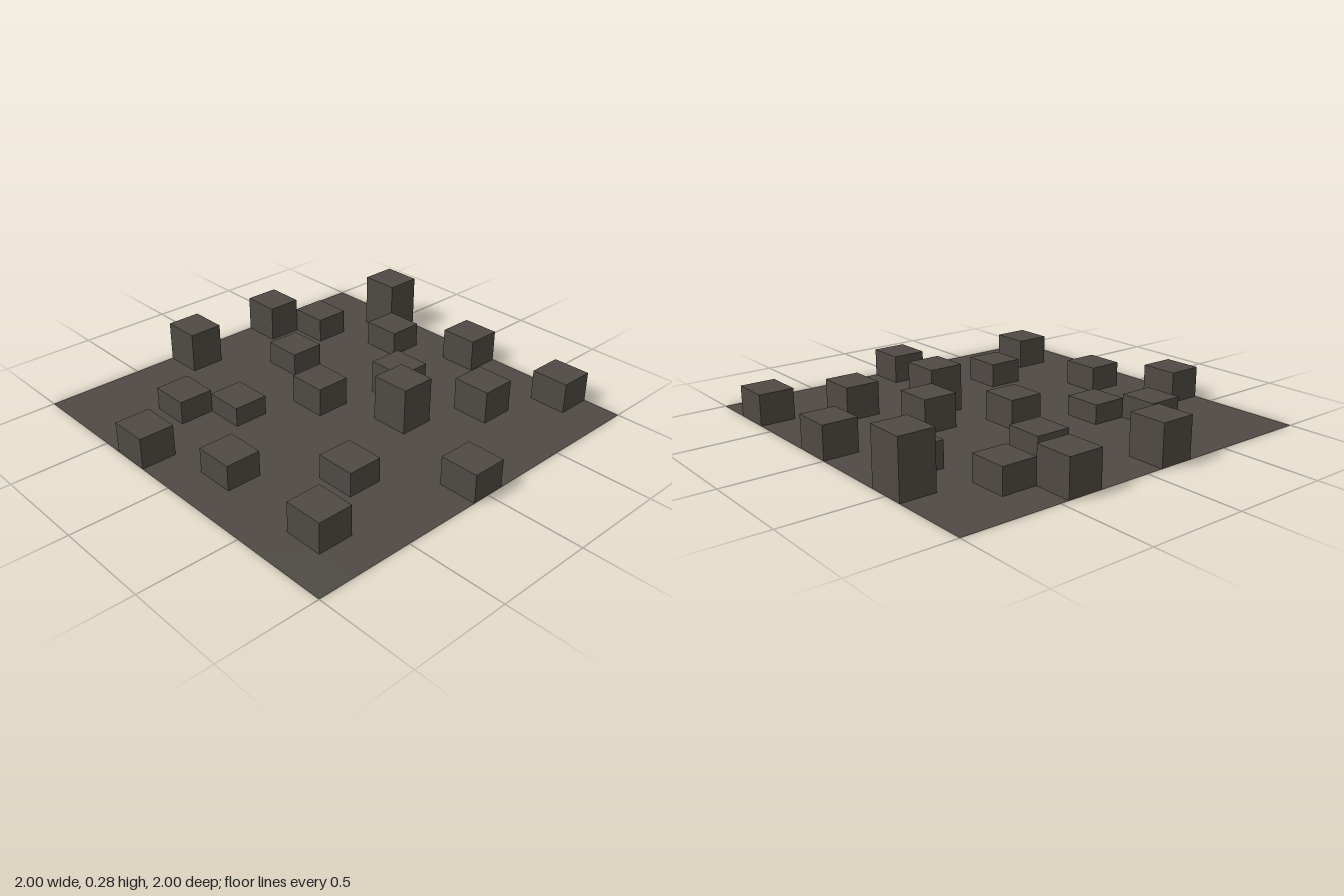
import * as THREE from 'three';

const COLS = 10, ROWS = 11;
const CW = 2 / COLS, CD = 2 / ROWS;

// raised cells: [column from -x, row from -z, height]
const BLOCKS = [
  [2, 0, 0.285], [5, 0, 0.168], [8, 0, 0.158],
  [3, 1, 0.132],
  [1, 2, 0.13], [7, 2, 0.17],
  [0, 3, 0.188], [5, 3, 0.173],
  [2, 4, 0.12], [6, 4, 0.238],
  [4, 5, 0.147], [9, 5, 0.147],
  [0, 6, 0.21],
  [3, 7, 0.1], [7, 7, 0.125],
  [2, 8, 0.12],
  [5, 9, 0.13], [8, 9, 0.156],
  [3, 10, 0.16],
];

// keep only the index entries that pass the test
function filterIndex(geometry, keep) {
  geometry.setIndex(Array.from(geometry.index.array).filter((_, i) => keep(i)));
  geometry.clearGroups();
  return geometry;
}

export function createModel() {
  const group = new THREE.Group();
  group.name = 'blockField';
  const stone = new THREE.MeshStandardMaterial({ color: 0x4f4a44, side: THREE.DoubleSide });
  stone.name = 'darkStone';

  // flat ground sheet, open beneath each raised cell
  const raised = new Set(BLOCKS.map(([c, r]) => r * COLS + c));
  const sheet = filterIndex(
    new THREE.PlaneGeometry(2, 2, COLS, ROWS).rotateX(-Math.PI / 2),
    (i) => !raised.has(Math.floor(i / 6)),
  );
  const ground = new THREE.Mesh(sheet, stone);
  ground.name = 'ground';
  group.add(ground);

  // hollow blocks without a bottom face (index entries 18 to 23)
  const shell = filterIndex(new THREE.BoxGeometry(CW, 1, CD), (i) => i < 18 || i >= 24);
  shell.translate(0, 0.5, 0);
  BLOCKS.forEach(([c, r, h], i) => {
    const block = new THREE.Mesh(shell, stone);
    block.name = `block${i + 1}`;
    block.scale.y = h;
    block.position.set(-1 + (c + 0.5) * CW, 0, -1 + (r + 0.5) * CD);
    group.add(block);
  });

  return group;
}
